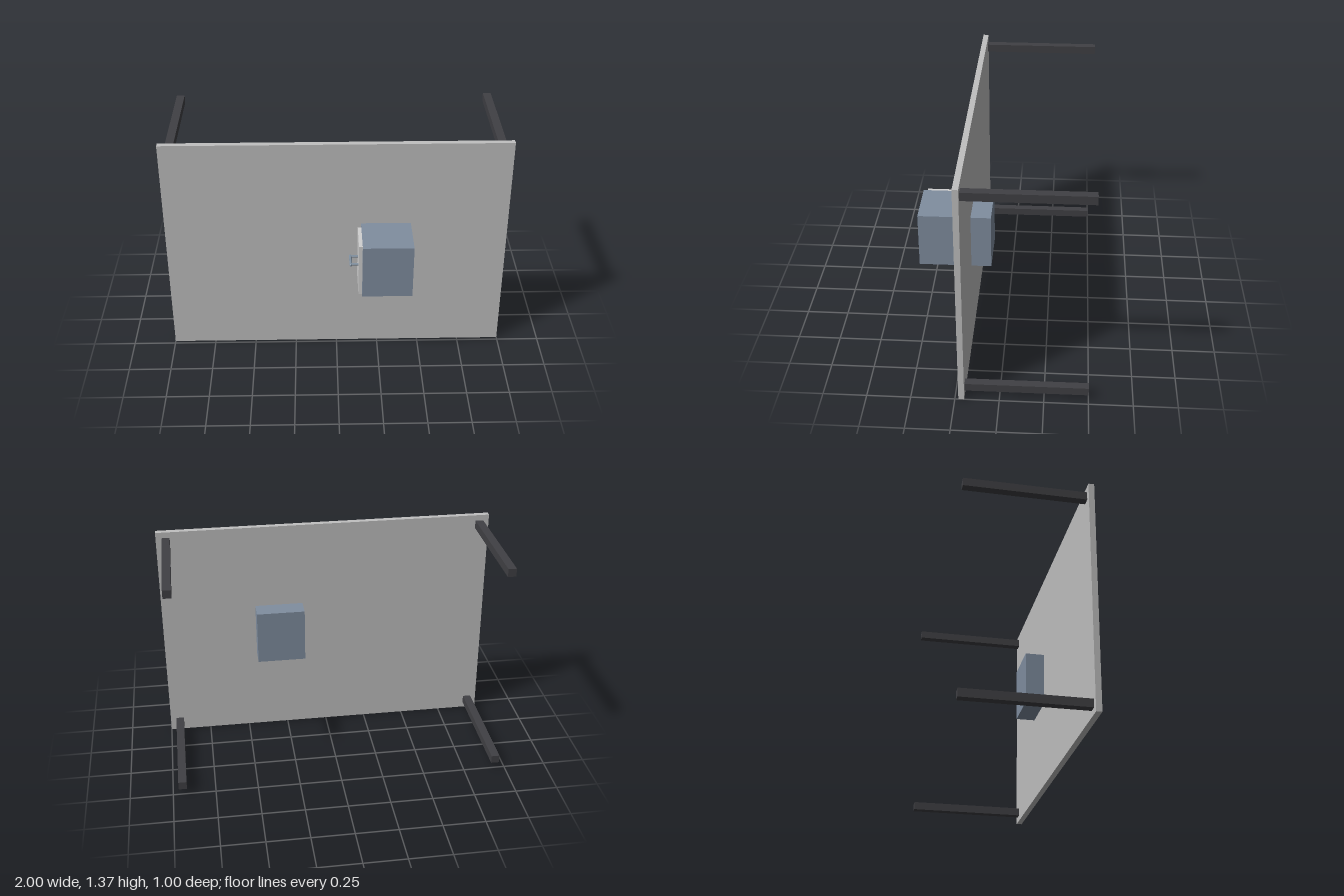
import * as THREE from 'three';

const paint = (name, color) => {
  const m = new THREE.MeshStandardMaterial({ color });
  m.name = name;
  return m;
};

export function createModel() {
  const model = new THREE.Group();
  model.name = 'tippedDesk';
  const panelGrey = paint('panelGrey', 0xc0c0c0);
  const legCharcoal = paint('legCharcoal', 0x404044);
  const cabinetBlue = paint('cabinetBlue', 0x808ea0);
  const drawerGrey = paint('drawerGrey', 0xd0d0d0);
  const handleSteel = paint('handleSteel', 0x8090a0);

  const add = (name, geometry, material, x, y, z, parent = model) => {
    const mesh = new THREE.Mesh(geometry, material);
    mesh.name = name;
    mesh.position.set(x, y, z);
    parent.add(mesh);
    return mesh;
  };
  // Box given by its lower and upper corners
  const box = (name, material, [x0, y0, z0], [x1, y1, z1]) =>
    add(name, new THREE.BoxGeometry(x1 - x0, y1 - y0, z1 - z0), material,
      (x0 + x1) / 2, (y0 + y1) / 2, (z0 + z1) / 2);

  // Desk top standing on its long edge
  box('deskTop', panelGrey, [-1, 0, 0.197], [1, 1.367, 0.23]);

  // Four square legs reaching backwards
  for (const x of [-0.942, 0.942])
    for (const y of [0.059, 1.308])
      box('leg', legCharcoal, [x - 0.024, y - 0.024, -0.5], [x + 0.024, y + 0.024, 0.197]);

  // Cabinet passing through the top, with its drawer front on the right side
  box('cabinet', cabinetBlue, [0.143, 0.521, 0.081], [0.433, 0.85, 0.5]);
  box('drawerFront', drawerGrey, [0.122, 0.523, 0.271], [0.143, 0.848, 0.477]);

  // Handle: a rounded grip on two posts
  const handle = new THREE.Group();
  handle.name = 'handle';
  handle.position.set(0.122, 0.686, 0.371);
  model.add(handle);
  add('grip', new THREE.CapsuleGeometry(0.008, 0.094, 6, 16), handleSteel, -0.043, 0, 0, handle)
    .rotation.x = Math.PI / 2;
  for (const z of [-0.041, 0.041])
    add('handlePost', new THREE.CylinderGeometry(0.007, 0.007, 0.043, 16), handleSteel, -0.0215, 0, z, handle)
      .rotation.z = Math.PI / 2;

  return model;
}
